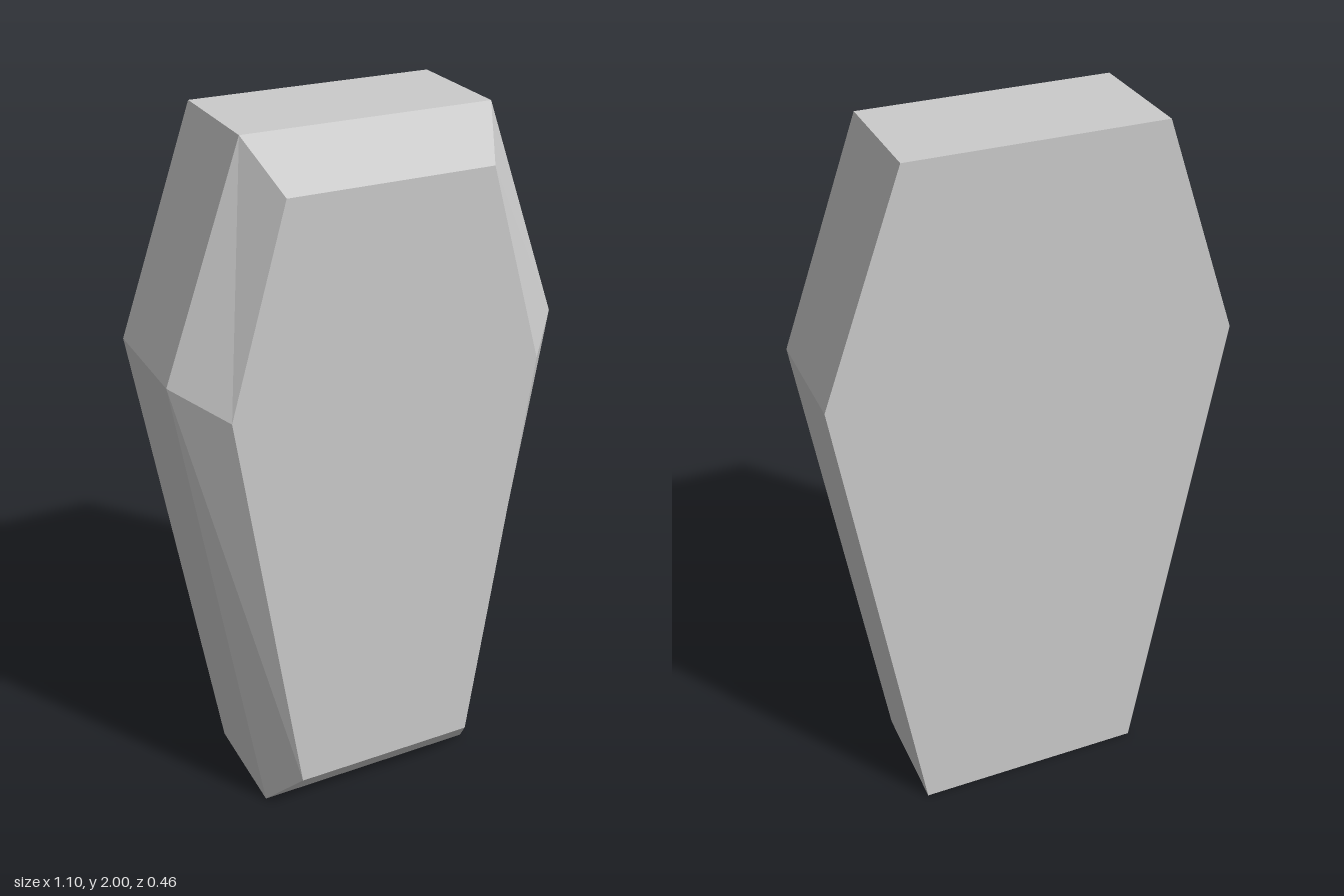
import * as THREE from 'three';

// Six-sided outline, counter-clockwise seen from the front, mirrored across x = 0.
function outline(right, z) {
  const left = right.map(([x, y]) => [-x, y]).reverse();
  return [...right, ...left].map(([x, y]) => new THREE.Vector3(x, y, z));
}

// Flat-sided shell between two outlines, with an optional cap on either end.
function shell(back, front, { capBack = false, capFront = false }) {
  const points = [];
  const n = back.length;
  for (let i = 0; i < n; i++) {
    const j = (i + 1) % n;
    points.push(back[i], back[j], front[j], back[i], front[j], front[i]);
  }
  for (let i = 1; i < n - 1; i++) {
    if (capFront) points.push(front[0], front[i], front[i + 1]);
    if (capBack) points.push(back[0], back[i + 1], back[i]);
  }
  const geometry = new THREE.BufferGeometry().setFromPoints(points);
  geometry.computeVertexNormals();
  return geometry;
}

export function createModel() {
  const group = new THREE.Group();
  group.name = 'coffin';
  const material = new THREE.MeshStandardMaterial({ color: 0xcccccc, flatShading: true });

  // Right-hand foot, shoulder and head corners
  const rim = [[0.33, 0], [0.55, 1.4], [0.335, 2]];
  const panel = [[0.266, 0.148], [0.433, 1.336], [0.276, 1.88]];

  const back = outline(rim, -0.23);
  const seam = outline(rim, 0.1);
  const face = outline(panel, 0.23);

  // Straight-sided box
  const box = new THREE.Mesh(shell(back, seam, { capBack: true }), material);
  box.name = 'box';

  // Bevelled lid with a flat front panel
  const lid = new THREE.Mesh(shell(seam, face, { capFront: true }), material);
  lid.name = 'lid';

  group.add(box, lid);
  return group;
}
